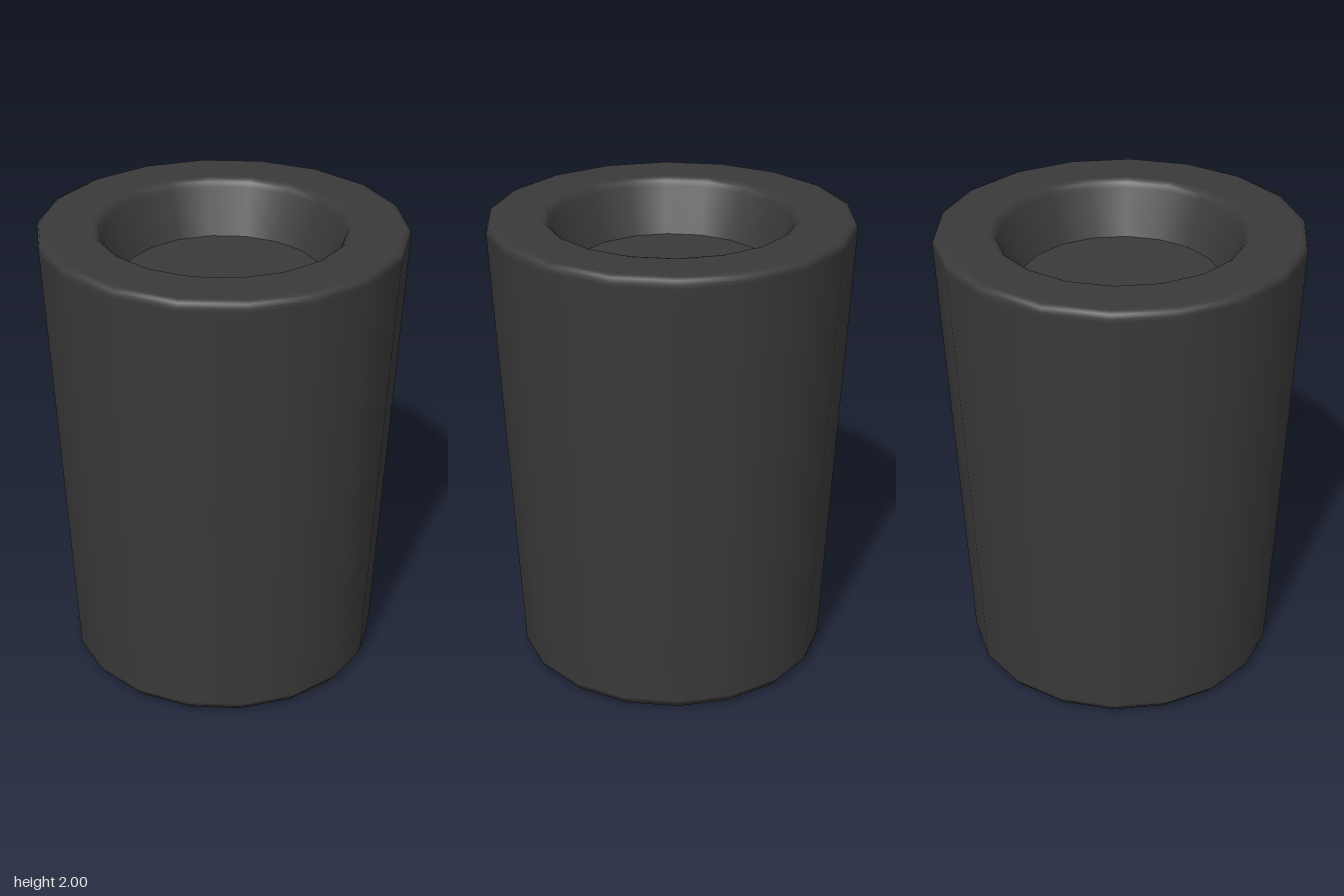
import * as THREE from 'three';

const SIDES = 18;

// Revolve a profile of [radius, height] pairs
function revolve(name, profile, material) {
  const points = profile.map(([r, y]) => new THREE.Vector2(r, y));
  const mesh = new THREE.Mesh(new THREE.LatheGeometry(points, SIDES), material);
  mesh.name = name;
  return mesh;
}

export function createModel() {
  const group = new THREE.Group();
  group.name = 'taperedPot';
  const material = new THREE.MeshStandardMaterial({ color: 0x3a3a3a });

  // Underside, chamfered foot, tapered wall, softened rim and sloping recess
  group.add(revolve('potBody', [
    [0, 0], [0.625, 0], [0.64, 0.005],
    [0.668, 0.035], [0.671, 0.05],
    [0.769, 1.96], [0.77, 1.975], [0.763, 1.992], [0.745, 2],
    [0.73, 2], [0.545, 2], [0.53, 1.997],
    [0.515, 1.985], [0.506, 1.965], [0.425, 1.77],
  ], material));

  // Flat floor of the recess
  group.add(revolve('recessFloor', [[0.425, 1.77], [0, 1.77]], material));

  return group;
}
